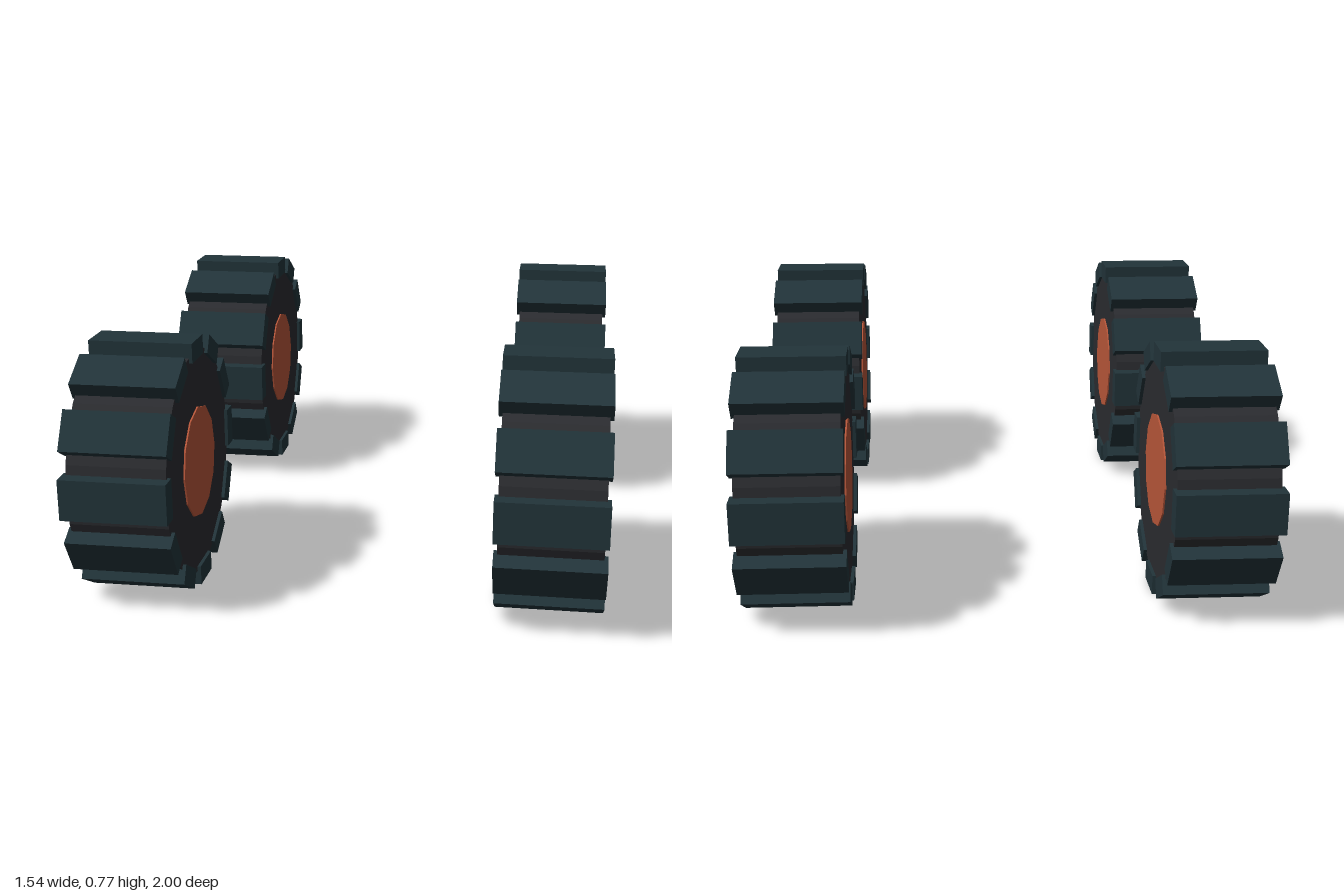
import * as THREE from 'three';

const material = (color) => new THREE.MeshStandardMaterial({ color, flatShading: true });

export function createModel() {
  const model = new THREE.Group();
  model.name = 'wheelSet';

  const rubber = material(0x2b2c30);
  const treadRubber = material(0x22343a);
  const hubPaint = material(0xb9573a);

  // Cylinders turned to lie along the axle (x)
  const tireGeometry = new THREE.CylinderGeometry(0.348, 0.348, 0.295, 24).rotateZ(Math.PI / 2);
  const hubGeometry = new THREE.CylinderGeometry(0.173, 0.173, 0.305, 12).rotateZ(Math.PI / 2);
  const treadGeometry = new THREE.BoxGeometry(0.316, 0.06, 0.123).translate(0, 0.355, 0);

  function createWheel(name) {
    const wheel = new THREE.Group();
    wheel.name = name;

    const tire = new THREE.Mesh(tireGeometry, rubber);
    tire.name = 'tire';
    const hub = new THREE.Mesh(hubGeometry, hubPaint);
    hub.name = 'hub';
    wheel.add(tire, hub);

    // Twelve tread blocks around the rim
    for (let i = 0; i < 12; i++) {
      const tread = new THREE.Mesh(treadGeometry, treadRubber);
      tread.name = `treadBlock${i + 1}`;
      tread.rotation.x = (i * Math.PI) / 6;
      wheel.add(tread);
    }
    return wheel;
  }

  // One wheel at each corner
  for (const [side, x] of [['Left', 0.614], ['Right', -0.614]]) {
    for (const [end, z] of [['front', 0.615], ['back', -0.615]]) {
      const wheel = createWheel(`${end}${side}Wheel`);
      wheel.position.set(x, 0.385, z);
      model.add(wheel);
    }
  }
  return model;
}
